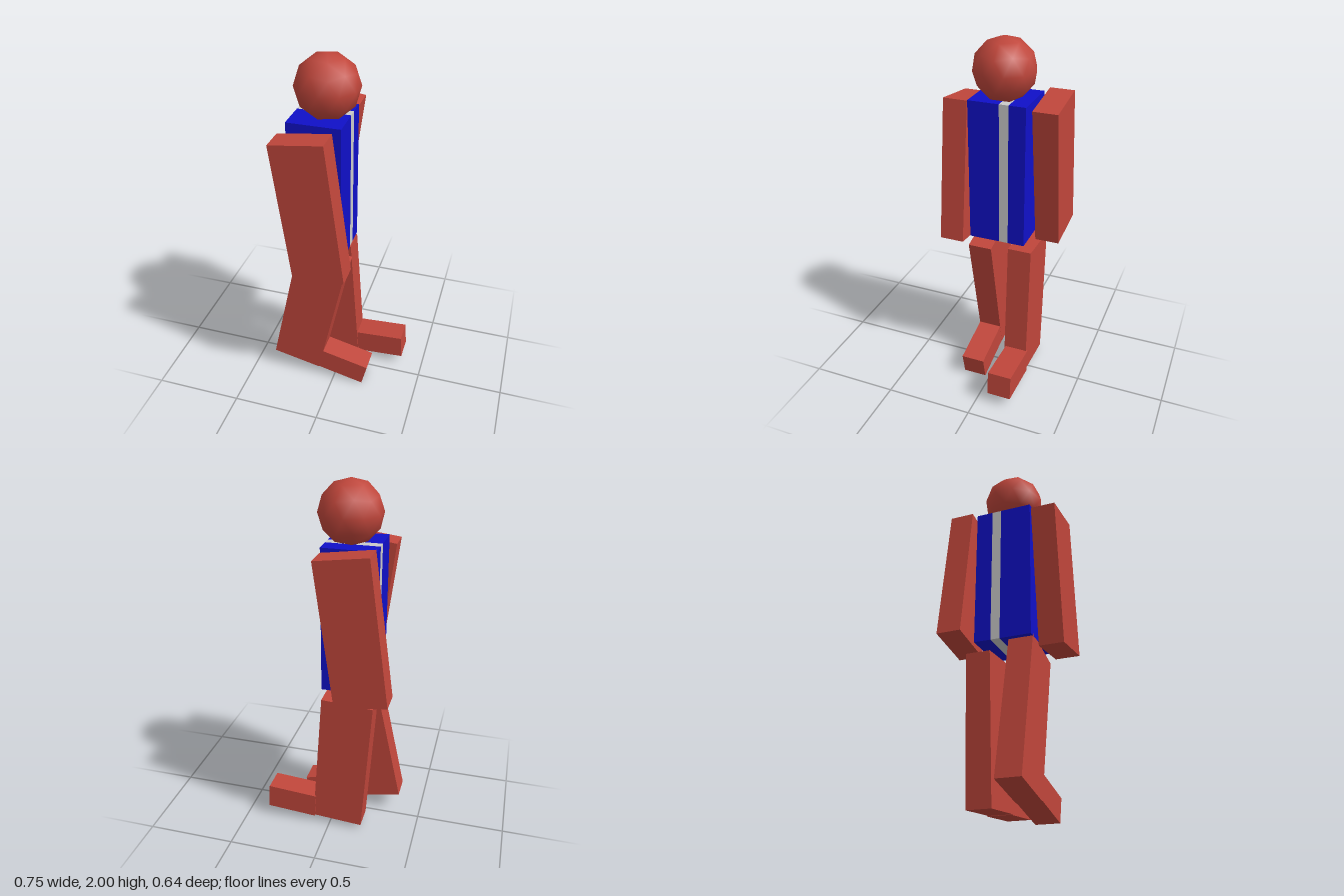
import * as THREE from 'three';

const material = (color) => new THREE.MeshStandardMaterial({ color });
const red = material(0xc0463b);
const blue = material(0x1010c8);
const grey = material(0xcccccc);

const WIDTH = 0.287; // shared width of torso, arms and legs
const LENGTH = 0.796; // shared length of torso, arms and legs

export function createModel() {
  const model = new THREE.Group();

  // Box centred at x, y, spanning z0 to z1, swung about z by some degrees
  function block(name, mat, w, h, x, y, z0, z1, degrees = 0) {
    const mesh = new THREE.Mesh(new THREE.BoxGeometry(w, h, z1 - z0), mat);
    mesh.name = name;
    mesh.position.set(x, y, (z0 + z1) / 2);
    mesh.rotation.z = THREE.MathUtils.degToRad(degrees);
    model.add(mesh);
  }

  // Head: smooth icosphere with one corner pointing straight up
  const ball = new THREE.IcosahedronGeometry(0.17, 1);
  ball.rotateZ(-Math.atan(2 / (1 + Math.sqrt(5))));
  const head = new THREE.Mesh(ball, red);
  head.name = 'head';
  head.position.set(-0.068, 1.83, 0.003);
  model.add(head);

  // Torso: two blue slabs with a flush grey stripe between them
  block('torsoBackSlab', blue, WIDTH, LENGTH, -0.0935, 1.285, -0.155, -0.062);
  block('torsoStripe', grey, WIDTH, LENGTH, -0.0935, 1.285, -0.062, -0.01);
  block('torsoFrontSlab', blue, WIDTH, LENGTH, -0.0935, 1.285, -0.01, 0.163);

  // Arms, swinging opposite ways
  block('frontArm', red, WIDTH, LENGTH, -0.082, 1.252, 0.183, 0.319, 7.3);
  block('backArm', red, WIDTH, LENGTH, -0.152, 1.291, -0.32, -0.185, -7.8);

  // Legs in mid stride
  block('frontLeg', red, WIDTH, LENGTH, -0.149, 0.482, 0.028, 0.163, -12.3);
  block('backLeg', red, WIDTH, LENGTH, -0.075, 0.436, -0.195, -0.06, 4);

  // Feet, each square to its leg and pointing to +x
  block('frontFoot', red, WIDTH, 0.135, 0.054, 0.102, 0.0285, 0.1625, -13);
  block('backFoot', red, WIDTH, 0.143, 0.226, 0.127, -0.203, -0.067, 4);

  return model;
}
